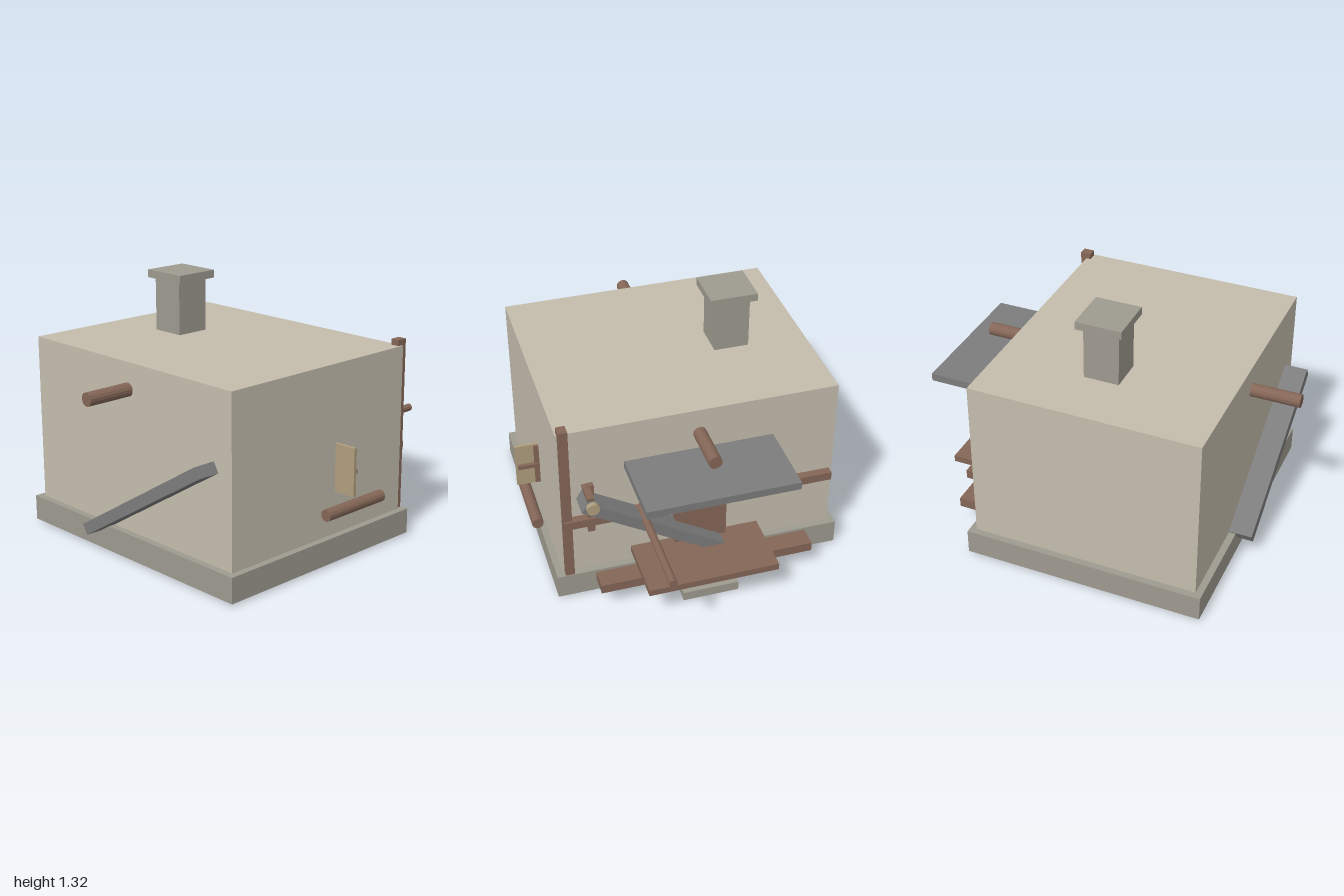
import * as THREE from 'three';

const mat = (color) => new THREE.MeshStandardMaterial({ color, flatShading: true });

export function createModel() {
  const model = new THREE.Group();
  const plaster = mat(0xc4bdad), stone = mat(0x9e9a90), slate = mat(0x7c7c7c);
  const wood = mat(0x846657), tan = mat(0xb09f7f);

  const add = (name, geometry, material) => {
    const mesh = new THREE.Mesh(geometry, material);
    mesh.name = name;
    model.add(mesh);
    return mesh;
  };
  // Box given by its extents on each axis
  const box = (name, material, [x0, x1], [y0, y1], [z0, z1]) => {
    const m = add(name, new THREE.BoxGeometry(x1 - x0, y1 - y0, z1 - z0), material);
    m.position.set((x0 + x1) / 2, (y0 + y1) / 2, (z0 + z1) / 2);
    return m;
  };
  // Round bar running along z
  const bar = (name, material, x, y, r, z0, z1, sides = 14) => {
    const g = new THREE.CylinderGeometry(r, r, z1 - z0, sides).rotateX(Math.PI / 2);
    const m = add(name, g, material);
    m.position.set(x, y, (z0 + z1) / 2);
    return m;
  };

  // House body, plinth and chimney
  box('plinth', stone, [-0.79, 0.7], [0.01, 0.14], [-0.46, 0.785]);
  box('houseBody', plaster, [-0.755, 0.665], [0.14, 1.0], [-0.425, 0.75]);
  box('chimney', stone, [-0.45, -0.27], [0.99, 1.275], [0.04, 0.22]);
  box('chimneyCap', stone, [-0.48, -0.235], [1.275, 1.315], [0.01, 0.245]);

  // Ridge log and sloping beam, both passing right through the body
  bar('ridgeLog', wood, -0.045, 0.865, 0.034, -0.67, 1.0);
  const beam = add('slopingBeam', new THREE.BoxGeometry(0.967, 0.058, 1.41), slate);
  beam.position.set(0.15, 0.374, 0.165);
  beam.rotation.z = Math.atan2(0.505, 0.83);

  // Side shutter with its battens, and the log below it
  box('shutter', tan, [0.66, 0.785], [0.36, 0.605], [0.045, 0.062]);
  box('shutterPost', wood, [0.665, 0.69], [0.37, 0.6], [0.03, 0.045]);
  box('shutterBatten', wood, [0.665, 0.775], [0.472, 0.492], [0.025, 0.045]);
  bar('sideLog', wood, 0.735, 0.29, 0.03, -0.2, 0.2);

  // Corner post and rail on the back wall
  box('cornerPost', wood, [0.61, 0.656], [0.14, 1.03], [-0.456, -0.4]);
  box('backRail', wood, [-0.74, 0.65], [0.445, 0.49], [-0.468, -0.42]);

  // Back door with lintel, canopy and platform
  box('backDoor', wood, [-0.18, 0.09], [0.14, 0.61], [-0.465, -0.42]);
  box('doorLintel', wood, [-0.205, 0.115], [0.6, 0.635], [-0.485, -0.42]);
  box('canopy', slate, [-0.425, 0.335], [0.735, 0.775], [-0.818, -0.42]);
  box('platform', wood, [-0.36, 0.31], [0.19, 0.225], [-0.765, -0.42]);
  box('step', stone, [-0.19, 0.1], [0, 0.05], [-0.655, -0.545]);
  bar('backPole', wood, 0.26, 0.475, 0.02, -1.0, -0.42, 12);

  // Platform bearer with an arched underside
  const s = new THREE.Shape();
  s.moveTo(-0.6, 0.115);
  s.lineTo(-0.265, 0.115);
  s.quadraticCurveTo(-0.045, 0.195, 0.175, 0.115);
  s.lineTo(0.51, 0.115);
  s.lineTo(0.51, 0.165);
  s.lineTo(-0.6, 0.165);
  const bearer = add('platformBearer',
    new THREE.ExtrudeGeometry(s, { depth: 0.105, bevelEnabled: false }), wood);
  bearer.position.z = -0.605;

  // Lamp bracket beside the sloping beam
  box('bracketPlank', wood, [0.495, 0.53], [0.4, 0.685], [-0.455, -0.42]);
  box('bracketArm', wood, [0.515, 0.55], [0.665, 0.682], [-0.54, -0.42]);
  bar('lampDisc', tan, 0.525, 0.627, 0.032, -0.565, -0.54);

  return model;
}
